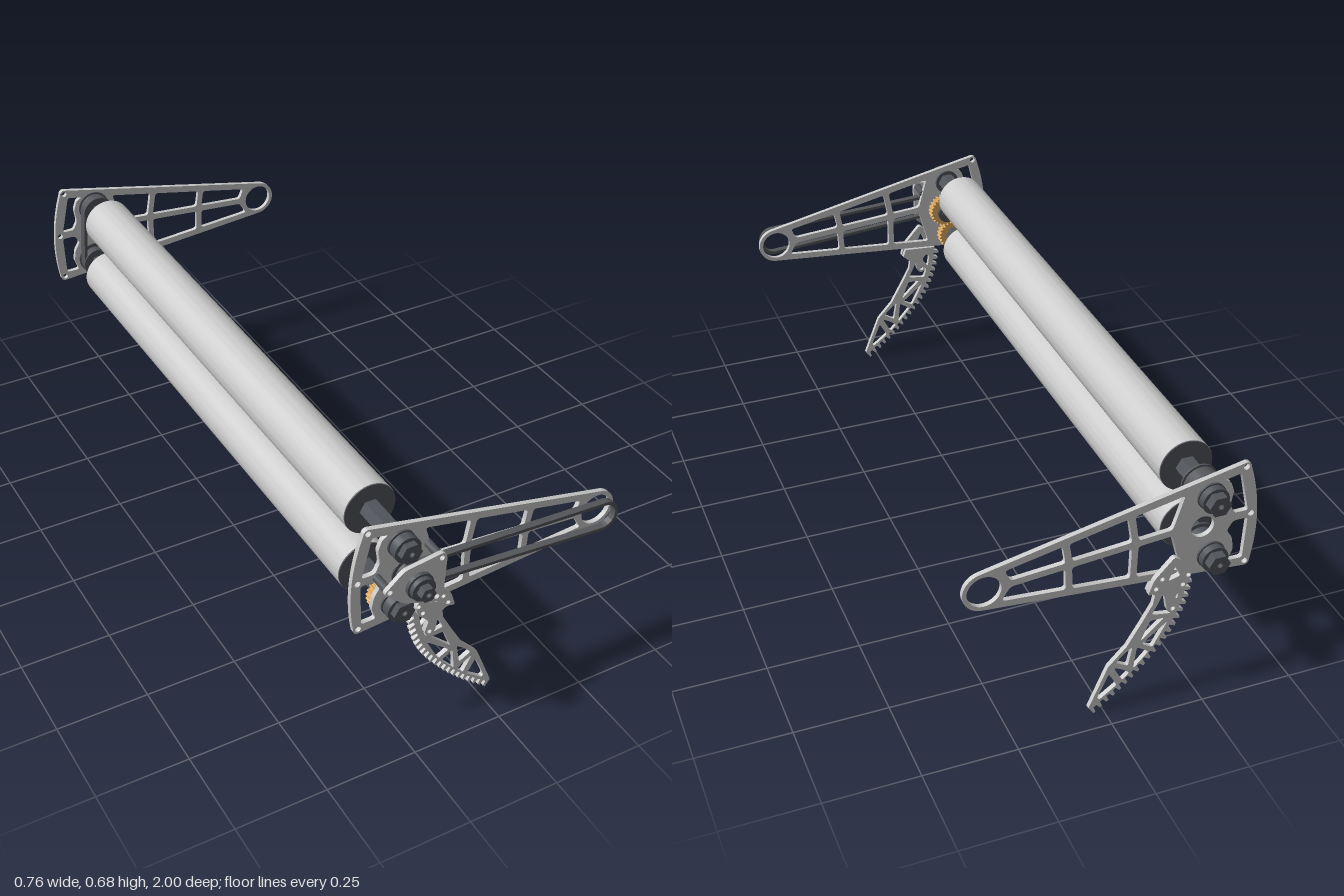
import * as THREE from 'three';
import { toCreasedNormals } from 'three/addons/utils/BufferGeometryUtils.js';

const GREY = new THREE.MeshStandardMaterial({ color: 0xcccccc });
const DARK = new THREE.MeshStandardMaterial({ color: 0x50545a });
const BELT = new THREE.MeshStandardMaterial({ color: 0x55565a });
const BRASS = new THREE.MeshStandardMaterial({ color: 0xe0ab60 });

const UPPER = [-0.25, 0.607], MIDDLE = [-0.235, 0.519], LOWER = [-0.263, 0.43], NOSE = [0.323, 0.48];
const FRONT = 0.888, REAR = -0.943, THICK = 0.013;

// Extrude a shape between two z positions
function slab(name, shape, z0, z1, material = GREY, curveSegments = 12) {
  const geo = new THREE.ExtrudeGeometry(shape, { depth: z1 - z0, bevelEnabled: false, curveSegments });
  geo.translate(0, 0, z0);
  const mesh = new THREE.Mesh(toCreasedNormals(geo, 0.6), material);
  mesh.name = name;
  return mesh;
}

const circle = ([x, y], r) => new THREE.Path().absarc(x, y, r, 0, Math.PI * 2, false);

// Closed outline with softened corners
function rounded(points, r, Type = THREE.Path) {
  const path = new Type(), v = points.map(p => new THREE.Vector2(...p));
  v.forEach((p, i) => {
    const before = v[(i + v.length - 1) % v.length], after = v[(i + 1) % v.length];
    const toward = q => p.clone().lerp(q, Math.min(0.45, r / p.distanceTo(q)));
    const a = toward(before), b = toward(after);
    if (i) path.lineTo(a.x, a.y); else path.moveTo(a.x, a.y);
    path.quadraticCurveTo(p.x, p.y, b.x, b.y);
  });
  path.closePath();
  return path;
}

// Ring or sleeve along z; six sides give a hexagonal bar
function sleeve(name, [x, y], z0, z1, outer, inner, material = DARK, sides = 32) {
  const shape = new THREE.Shape();
  for (let i = 0; i < sides; i++) {
    const a = i / sides * Math.PI * 2;
    shape[i ? 'lineTo' : 'moveTo'](x + outer * Math.cos(a), y + outer * Math.sin(a));
  }
  shape.holes.push(circle([x, y], inner));
  return slab(name, shape, z0, z1, material, 10);
}

// Loop around two wheels of different radius
function loop(Type, [x1, y1], r1, [x2, y2], r2) {
  const dir = Math.atan2(y2 - y1, x2 - x1);
  const spread = Math.acos((r1 - r2) / Math.hypot(x2 - x1, y2 - y1));
  return new Type()
    .absarc(x1, y1, r1, dir + spread, dir - spread + Math.PI * 2, false)
    .absarc(x2, y2, r2, dir - spread, dir + spread, false);
}
function belt(name, c1, r1, c2, r2, z0, z1) {
  const shape = loop(THREE.Shape, c1, r1, c2, r2);
  shape.holes.push(loop(THREE.Path, c1, r1 - 0.009, c2, r2 - 0.009));
  return slab(name, shape, z0, z1, BELT, 24);
}

// Tapered side frame with windows, bearing seats and the big end ring
function sidePlateShape() {
  const top = x => 0.533 - 0.2126 * (x - 0.334) - 0.019;
  const bottom = x => 0.426 + 0.077 * (x - 0.327) + 0.018;
  const rib = x => 0.508 - 0.085 * x;
  const s = new THREE.Shape();
  s.absarc(-0.36, 0.382, 0.013, Math.PI, Math.PI * 1.52, false);
  s.absarc(...NOSE, 0.054, -1.494, 1.361, false);
  s.absarc(-0.339, 0.667, 0.013, 1.36, Math.PI, false);
  s.quadraticCurveTo(-0.399, 0.525, -0.373, 0.382);
  s.holes.push(circle(NOSE, 0.043), circle(UPPER, 0.036), circle(LOWER, 0.036), circle(MIDDLE, 0.03));
  for (const p of [[-0.339, 0.667], [-0.364, 0.526], [-0.36, 0.382]]) s.holes.push(circle(p, 0.008));
  // windows above and below the middle rib: [outer left, rib left, outer right, rib right]
  const above = [[-0.182, -0.155, -0.054, -0.067], [-0.037, -0.05, 0.112, 0.103], [0.129, 0.12, 0.272, 0.258]];
  const below = [[-0.185, -0.155, -0.067, -0.067], [-0.05, -0.05, 0.1, 0.103], [0.117, 0.12, 0.28, 0.258]];
  for (const [a, b, c, d] of above)
    s.holes.push(rounded([[a, top(a)], [b, rib(b) + 0.009], [d, rib(d) + 0.009], [c, top(c)]], 0.01));
  for (const [a, b, c, d] of below)
    s.holes.push(rounded([[a, bottom(a)], [c, bottom(c)], [d, rib(d) - 0.009], [b, rib(b) - 0.009]], 0.01));
  // openings between the curved edge and the bearing seats
  s.holes.push(rounded([[-0.328, 0.652], [-0.354, 0.538], [-0.318, 0.538], [-0.305, 0.565],
    [-0.311, 0.605], [-0.3, 0.635], [-0.283, 0.643]], 0.008));
  s.holes.push(rounded([[-0.356, 0.515], [-0.352, 0.395], [-0.312, 0.396], [-0.324, 0.43],
    [-0.318, 0.465], [-0.302, 0.49], [-0.318, 0.515]], 0.008));
  return s;
}

// Curved arm with saw teeth on its outer edge
function toothedArmShape() {
  const edge = new THREE.CatmullRomCurve3([[-0.222, 0.375], [-0.212, 0.308], [-0.182, 0.227],
    [-0.121, 0.142], [-0.053, 0.07], [0.028, 0.003]].map(([x, y]) => new THREE.Vector3(x, y, 0)));
  const s = new THREE.Shape(), teeth = 21;
  const add = (u, inset, first) => {
    const p = edge.getPointAt(u), d = edge.getTangentAt(u);
    s[first ? 'moveTo' : 'lineTo'](p.x - d.y * inset, p.y + d.x * inset);
  };
  for (let i = 0; i < teeth; i++) {
    const u = i / teeth, w = 1 / teeth;
    add(u, 0.016, i === 0);
    add(u + w * 0.42, 0.016);
    add(u + w * 0.62, 0.001);
    add(u + w * 0.95, 0);
  }
  for (const p of [[0.042, 0.025], [-0.006, 0.146], [-0.053, 0.197], [-0.091, 0.264], [-0.117, 0.313],
    [-0.121, 0.34], [-0.098, 0.36], [-0.107, 0.384], [-0.2, 0.378]]) s.lineTo(...p);
  s.closePath();
  const windows = [
    [[-0.188, 0.35], [-0.182, 0.312], [-0.16, 0.335], [-0.165, 0.36]],
    [[-0.177, 0.3], [-0.168, 0.272], [-0.116, 0.281], [-0.133, 0.316], [-0.145, 0.345]],
    [[-0.151, 0.262], [-0.09, 0.205], [-0.113, 0.263]],
    [[-0.161, 0.248], [-0.124, 0.176], [-0.094, 0.194]],
    [[-0.115, 0.165], [-0.075, 0.12], [-0.082, 0.187]],
    [[-0.07, 0.193], [-0.06, 0.134], [-0.026, 0.154], [-0.05, 0.178]],
    [[-0.066, 0.11], [-0.046, 0.091], [-0.022, 0.139], [-0.048, 0.125]],
    [[-0.033, 0.08], [0.014, 0.045], [0.02, 0.052], [-0.009, 0.122]],
  ];
  for (const w of windows) s.holes.push(rounded(w, 0.007));
  return s;
}

// Plate that clamps the arm to the frame
function clampShape() {
  const s = rounded([[-0.208, 0.393], [-0.18, 0.442], [-0.16, 0.458], [-0.108, 0.4], [-0.094, 0.356],
    [-0.118, 0.362], [-0.14, 0.345], [-0.15, 0.293], [-0.166, 0.283], [-0.18, 0.298], [-0.168, 0.335],
    [-0.2, 0.365]], 0.009, THREE.Shape);
  s.holes.push(rounded([[-0.178, 0.398], [-0.146, 0.388], [-0.163, 0.43]], 0.006));
  for (const p of [[-0.2, 0.393], [-0.13, 0.398], [-0.187, 0.367], [-0.115, 0.372], [-0.165, 0.298]])
    s.holes.push(circle(p, 0.006));
  return s;
}

function gearShape([x, y], r, teeth, turn) {
  const s = new THREE.Shape();
  for (let i = 0; i < teeth * 4; i++) {
    const a = (i / 4 + turn) / teeth * Math.PI * 2, q = i % 4 < 2 ? r + 0.003 : r - 0.003;
    s[i ? 'lineTo' : 'moveTo'](x + q * Math.cos(a), y + q * Math.sin(a));
  }
  s.holes.push(circle([x, y], 0.024));
  return s;
}

export function createModel() {
  const model = new THREE.Group();
  const add = (...parts) => model.add(...parts);

  // Side frames with toothed arms and clamps
  for (const [side, z, out] of [['front', FRONT, 1], ['rear', REAR, -1]]) {
    const z0 = z - THICK / 2, z1 = z + THICK / 2;
    add(slab(side + 'SidePlate', sidePlateShape(), z0, z1, GREY, 24));
    add(slab(side + 'ToothedArm', toothedArmShape(), z0, z1));
    const c = z + out * 0.0135;
    add(slab(side + 'ArmClamp', clampShape(), c - 0.007, c + 0.007));
  }

  // Rollers on hollow hexagonal shafts, with bearings and collars
  for (const [name, c] of [['upper', UPPER], ['lower', LOWER]]) {
    add(sleeve(name + 'Roller', c, -0.817, 0.752, 0.071, 0.025, GREY, 64));
    add(sleeve(name + 'RollerFrontCap', c, 0.752, 0.755, 0.07, 0.025, DARK, 48));
    add(sleeve(name + 'RollerRearCap', c, -0.82, -0.817, 0.07, 0.025, DARK, 48));
    add(sleeve(name + 'Shaft', c, -1, 0.945, 0.029, 0.007, DARK, 6));
    add(sleeve(name + 'FrontBearing', c, 0.875, 0.9, 0.037, 0.024));
    add(sleeve(name + 'FrontCollar', c, 0.904, 0.928, 0.036, 0.02));
    add(sleeve(name + 'RearBearing', c, -0.955, -0.93, 0.037, 0.024));
    add(sleeve(name + 'RearCollar', c, -0.976, -0.957, 0.035, 0.02));
    // rear pulley with two flanges
    add(sleeve(name + 'RearPulley', c, -0.925, -0.885, 0.038, 0.02));
    for (const z of [-0.93, -0.89]) add(sleeve(name + 'PulleyFlange', c, z, z + 0.005, 0.048, 0.02));
  }
  add(belt('rearBelt', UPPER, 0.045, LOWER, 0.045, -0.922, -0.893));

  // Driven middle shaft, its pulley and the long belt
  add(sleeve('middleShaft', MIDDLE, 0.825, 1, 0.021, 0.007, DARK, 6));
  add(sleeve('middleInnerCollar', MIDDLE, 0.828, 0.842, 0.03, 0.016));
  add(sleeve('middleBearing', MIDDLE, 0.877, 0.9, 0.031, 0.016));
  add(sleeve('drivePulley', MIDDLE, 0.905, 0.935, 0.03, 0.016));
  for (const z of [0.903, 0.933]) add(sleeve('drivePulleyFlange', MIDDLE, z, z + 0.004, 0.043, 0.016));
  add(sleeve('middleOuterBearing', MIDDLE, 0.94, 0.965, 0.036, 0.016));
  add(sleeve('middleOuterCollar', MIDDLE, 0.967, 0.98, 0.032, 0.016));
  add(belt('driveBelt', MIDDLE, 0.037, NOSE, 0.044, 0.91, 0.929));

  // Meshing gears on the inside of the front plate
  add(slab('middleGear', gearShape(MIDDLE, 0.047, 24, 0), 0.847, 0.874, BRASS));
  add(slab('lowerGear', gearShape(LOWER, 0.047, 24, 0.4), 0.847, 0.874, BRASS));

  // Triangular outer support on three standoffs
  const bolts = [[-0.313, 0.525], [-0.173, 0.573], [-0.182, 0.457]];
  const support = rounded([[-0.33, 0.525], [-0.275, 0.574], [-0.165, 0.589], [-0.158, 0.57],
    [-0.164, 0.455], [-0.182, 0.44], [-0.275, 0.476]], 0.012, THREE.Shape);
  support.holes.push(circle(MIDDLE, 0.034));
  for (const b of bolts) {
    support.holes.push(circle(b, 0.007));
    add(sleeve('standoff', b, FRONT, 0.943, 0.011, 0.007, DARK, 16));
  }
  add(slab('outerSupport', support, 0.943, 0.955));
  return model;
}
